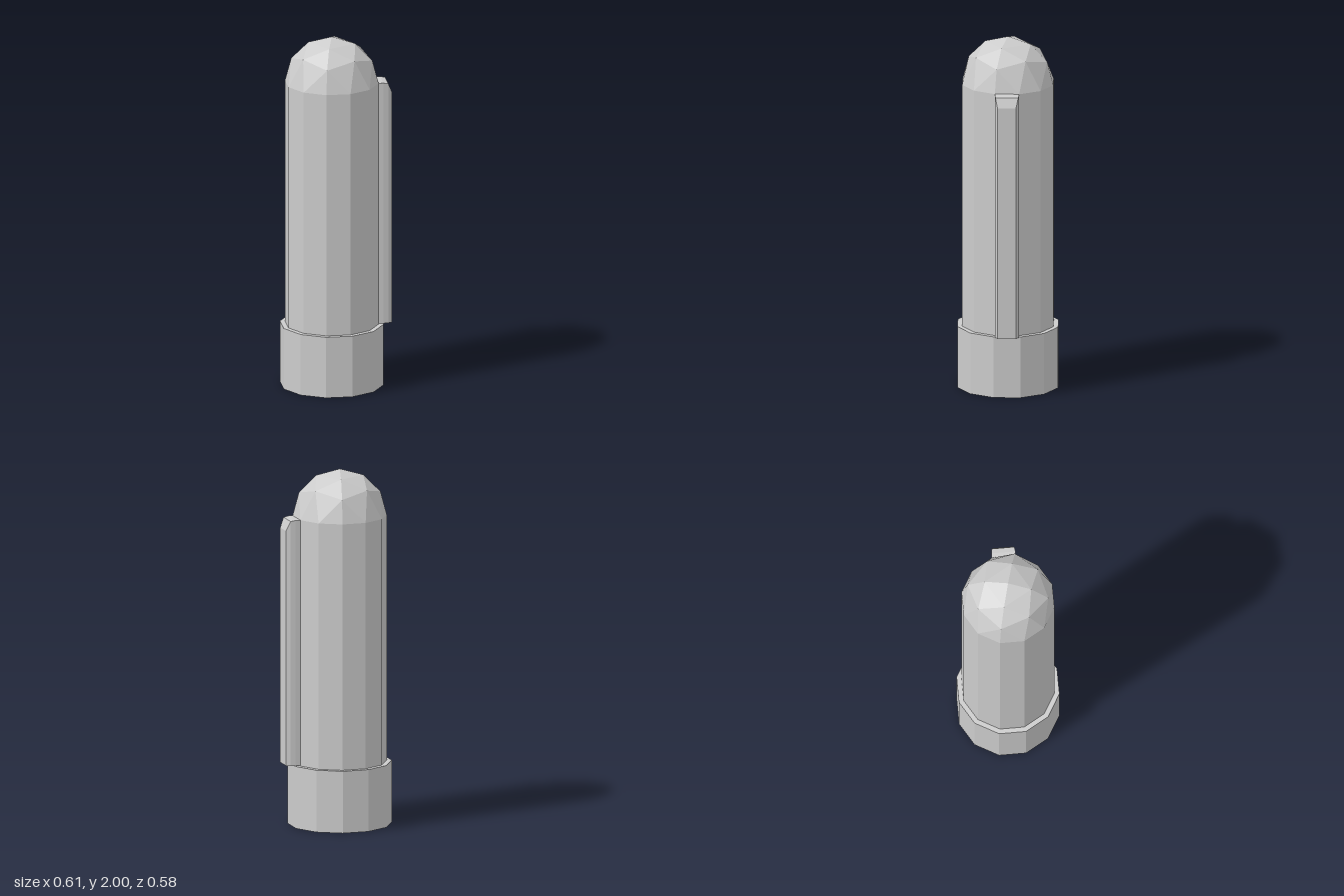
import * as THREE from 'three';

const SIDES = 12, R = 0.261, COLLAR_R = 0.289;
const COLLAR_TOP = 0.35, BARREL_TOP = 1.74;
const TURN = 0.098; // small twist of the twelve-sided barrel

function fromTriangles(points) {
  const geometry = new THREE.BufferGeometry().setFromPoints(points);
  geometry.computeVertexNormals();
  return geometry;
}

// Hemisphere from a subdivided octahedron: rings of 1, 4, 8 and 12 points
function domeGeometry() {
  const steps = 3, tris = [];
  const point = (ring, i) => {
    if (ring === 0) return new THREE.Vector3(0, R, 0);
    const tilt = (ring / steps) * Math.PI / 2;
    const corner = (q) => new THREE.Vector3().setFromSphericalCoords(R, tilt, TURN + q * Math.PI / 2);
    const a = corner(Math.floor(i / ring)), b = corner(Math.floor(i / ring) + 1);
    const angle = a.angleTo(b), t = (i % ring) / ring;
    return a.multiplyScalar(Math.sin((1 - t) * angle))
      .addScaledVector(b, Math.sin(t * angle)).divideScalar(Math.sin(angle));
  };
  for (let ring = 0; ring < steps; ring++) {
    for (let q = 0; q < 4; q++) {
      const up = q * ring, low = q * (ring + 1);
      for (let i = 0; i <= ring; i++) {
        tris.push(point(ring, up + i), point(ring + 1, low + i), point(ring + 1, low + i + 1));
        if (i < ring) tris.push(point(ring, up + i), point(ring + 1, low + i + 1), point(ring, up + i + 1));
      }
    }
  }
  return fromTriangles(tris);
}

// Clip: rectangles stacked outward, narrowing and dropping toward the outer face
function clipGeometry() {
  const layers = [ // distance out, half width, top height
    [0.25, 0.067, BARREL_TOP],
    [0.279, 0.067, BARREL_TOP],
    [0.307, 0.063, 1.735],
    [0.33, 0.051, 1.68],
  ];
  const loops = layers.map(([d, w, top]) => [
    [-w, COLLAR_TOP + 0.003], [w, COLLAR_TOP + 0.003], [w, top], [-w, top],
  ].map(([x, y]) => new THREE.Vector3(x, y, d)));
  const tris = [];
  const quad = (a, b, c, d) => tris.push(a, b, c, a, c, d);
  for (let k = 0; k < loops.length - 1; k++) {
    for (let i = 0; i < 4; i++) {
      const j = (i + 1) % 4;
      quad(loops[k][i], loops[k][j], loops[k + 1][j], loops[k + 1][i]);
    }
  }
  quad(...loops[loops.length - 1]);
  quad(...[...loops[0]].reverse());
  return fromTriangles(tris);
}

export function createModel() {
  const model = new THREE.Group();
  model.name = 'cap';
  const grey = new THREE.MeshStandardMaterial({ color: 0xcccccc, flatShading: true, side: THREE.DoubleSide });
  grey.name = 'light grey';

  const add = (name, geometry, y = 0) => {
    const mesh = new THREE.Mesh(geometry, grey);
    mesh.name = name;
    mesh.position.set(-0.0225, y, 0);
    model.add(mesh);
    return mesh;
  };
  const lathe = (profile) => new THREE.LatheGeometry(
    profile.map(([r, y]) => new THREE.Vector2(r, y)), SIDES, TURN);

  // Hollow shell, open at the bottom
  add('collar', lathe([[COLLAR_R, 0], [COLLAR_R, COLLAR_TOP], [R, COLLAR_TOP]]));
  add('barrel', lathe([[R, COLLAR_TOP], [R, BARREL_TOP]]));
  add('dome', domeGeometry(), BARREL_TOP);

  // Clip sits on the centre of the fourth barrel face
  const clip = add('clip', clipGeometry());
  clip.rotation.y = TURN + 3.5 * (Math.PI * 2 / SIDES);

  return model;
}
